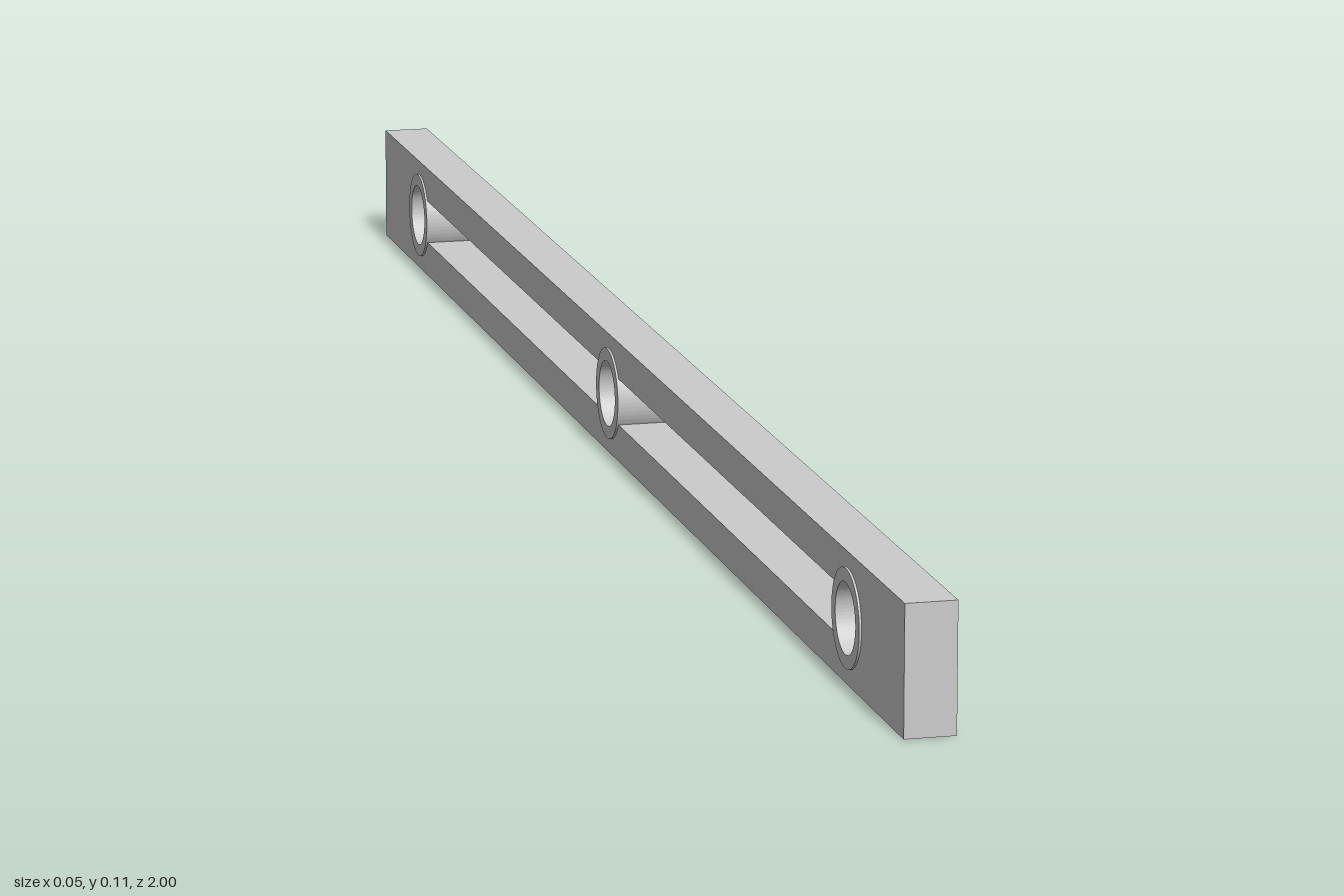
import * as THREE from 'three';

const WIDTH = 0.045, HEIGHT = 0.114, MID = HEIGHT / 2;
const RING_WIDTH = 0.049, RING_R = 0.043, HOLE_R = 0.031;
const SLOT = 0.022, VIAL_R = 0.01;

// Extrudes a side profile (shape x = model z) across the width, centred on x = 0
function extrudeAcross(shape, width) {
  const g = new THREE.ExtrudeGeometry(shape, { depth: width, bevelEnabled: false, curveSegments: 32 });
  g.translate(0, 0, -width / 2);
  g.rotateY(-Math.PI / 2);
  return g;
}

export function createModel() {
  const group = new THREE.Group();
  const material = new THREE.MeshStandardMaterial({ color: 0xcccccc });
  const add = (name, geometry, parent = group) => {
    const mesh = new THREE.Mesh(geometry, material);
    mesh.name = name;
    parent.add(mesh);
    return mesh;
  };

  // Long bar with one opening: three round seats joined by two slots
  const bar = new THREE.Shape([[-1, -MID], [1, -MID], [1, MID], [-1, MID]].map(p => new THREE.Vector2(...p)));
  const a = Math.asin(SLOT / RING_R);
  const opening = new THREE.Path();
  opening.absarc(0.83, 0, RING_R, -Math.PI + a, Math.PI - a, false);
  opening.absarc(0, 0, RING_R, a, Math.PI - a, false);
  opening.absarc(-0.83, 0, RING_R, a, 2 * Math.PI - a, false);
  opening.absarc(0, 0, RING_R, Math.PI + a, 2 * Math.PI - a, false);
  opening.closePath();
  bar.holes.push(opening);
  add('bar', extrudeAcross(bar, WIDTH)).position.y = MID;

  // Vial holders: a ring standing slightly proud of the bar, with a tube across it
  const ring = new THREE.Shape().absarc(0, 0, RING_R, 0, Math.PI * 2, false);
  ring.holes.push(new THREE.Path().absarc(0, 0, HOLE_R, 0, Math.PI * 2, true));
  const ringGeometry = extrudeAcross(ring, RING_WIDTH);
  const vialGeometry = new THREE.CylinderGeometry(VIAL_R, VIAL_R, HOLE_R * 2 + 0.004, 24);

  const holders = [
    ['diagonalVial', 0.83, -Math.PI / 4],
    ['plumbVial', 0, 0],
    ['levelVial', -0.83, Math.PI / 2],
  ];
  for (const [name, z, tilt] of holders) {
    const holder = new THREE.Group();
    holder.name = name + 'Holder';
    holder.position.set(0, MID, z);
    add(name + 'Ring', ringGeometry, holder);
    add(name, vialGeometry, holder).rotation.x = tilt;
    group.add(holder);
  }
  return group;
}
